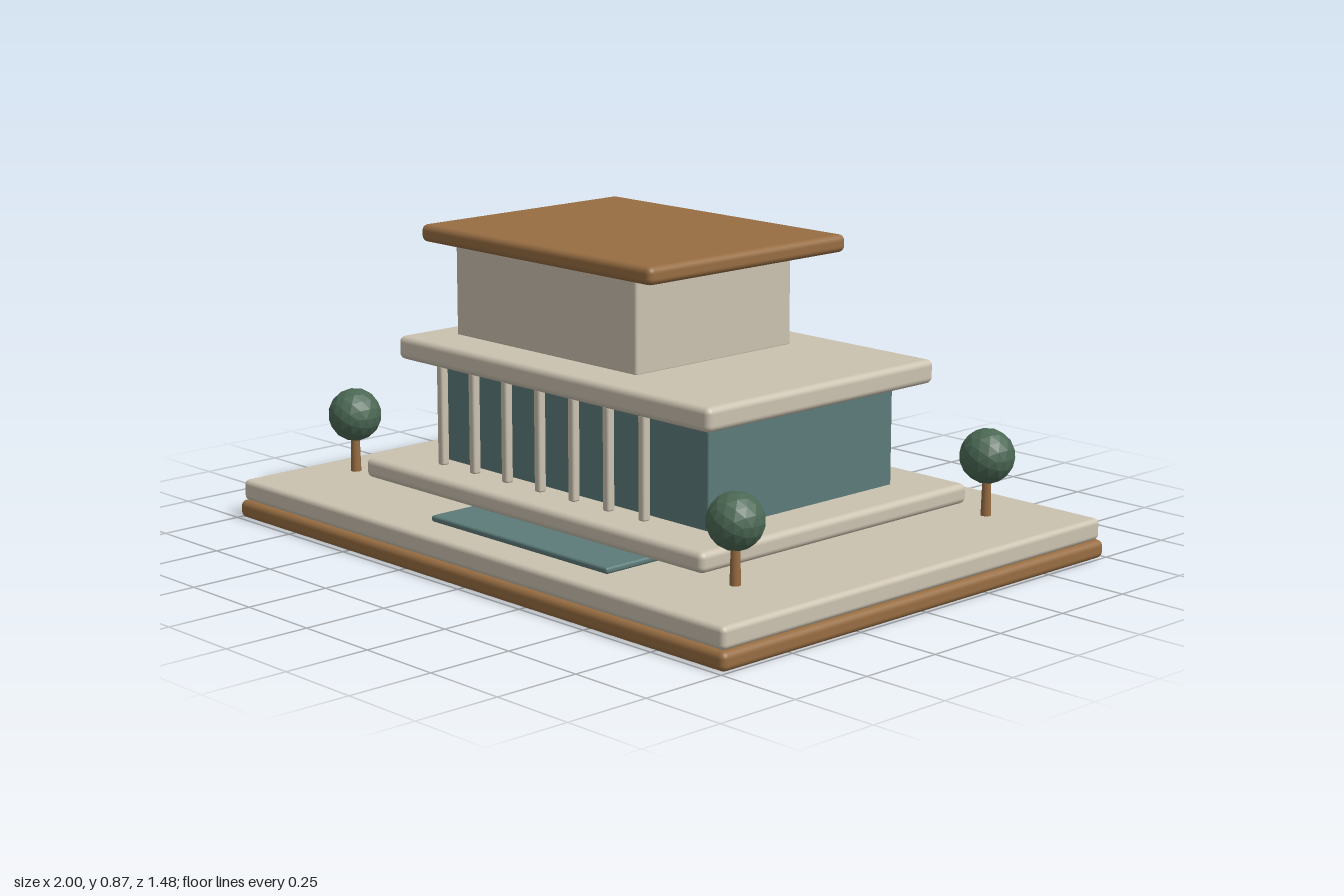
import * as THREE from 'three';
import { RoundedBoxGeometry } from 'three/addons/geometries/RoundedBoxGeometry.js';

const mat = (color, flatShading = false) => new THREE.MeshStandardMaterial({ color, flatShading });

export function createModel() {
  const model = new THREE.Group();
  model.name = 'house';
  const stone = mat(0xcbc2b0), wood = mat(0x976d42), glass = mat(0x5c7b79), leaf = mat(0x4b6854, true);

  // Rounded block given by its extents
  function block(name, material, [x0, x1], [y0, y1], [z0, z1], radius) {
    const mesh = new THREE.Mesh(new RoundedBoxGeometry(x1 - x0, y1 - y0, z1 - z0, 3, radius), material);
    mesh.position.set((x0 + x1) / 2, (y0 + y1) / 2, (z0 + z1) / 2);
    mesh.name = name;
    model.add(mesh);
  }

  // Ground plates and podium
  block('basePlate', wood, [-1, 1], [0, 0.052], [-0.742, 0.742], 0.018);
  block('terrace', stone, [-0.99, 0.99], [0.052, 0.113], [-0.733, 0.733], 0.015);
  block('podium', stone, [-0.692, 0.692], [0.138, 0.195], [-0.516, 0.516], 0.018);
  block('pool', glass, [-0.24, 0.473], [0.119, 0.137], [0.43, 0.643], 0.007);

  // Two storeys with their overhanging roofs
  block('glassStorey', glass, [-0.555, 0.551], [0.19, 0.488], [-0.355, 0.355], 0.005);
  block('lowerRoof', stone, [-0.634, 0.632], [0.483, 0.55], [-0.435, 0.435], 0.018);
  block('upperStorey', stone, [-0.536, 0.215], [0.545, 0.825], [-0.297, 0.297], 0.008);
  block('upperRoof', wood, [-0.597, 0.352], [0.82, 0.87], [-0.376, 0.376], 0.018);

  // Slender columns along the front
  for (let i = 0; i < 7; i++) {
    const x = -0.478 + i * 0.1388;
    block('column', stone, [x - 0.0125, x + 0.0125], [0.193, 0.485], [0.387, 0.413], 0.007);
  }

  // Corner trees
  const trunkGeometry = new THREE.CylinderGeometry(0.012, 0.015, 0.11, 10);
  const crownGeometry = new THREE.IcosahedronGeometry(0.077, 2);
  for (const [x, z] of [[-0.793, -0.48], [0.79, -0.48], [-0.793, 0.472], [0.79, 0.493]]) {
    const tree = new THREE.Group();
    tree.name = 'tree';
    const trunk = new THREE.Mesh(trunkGeometry, wood);
    trunk.name = 'trunk';
    trunk.position.y = 0.185;
    const crown = new THREE.Mesh(crownGeometry, leaf);
    crown.name = 'crown';
    crown.position.y = 0.298;
    tree.add(trunk, crown);
    tree.position.set(x, 0, z);
    model.add(tree);
  }
  return model;
}
